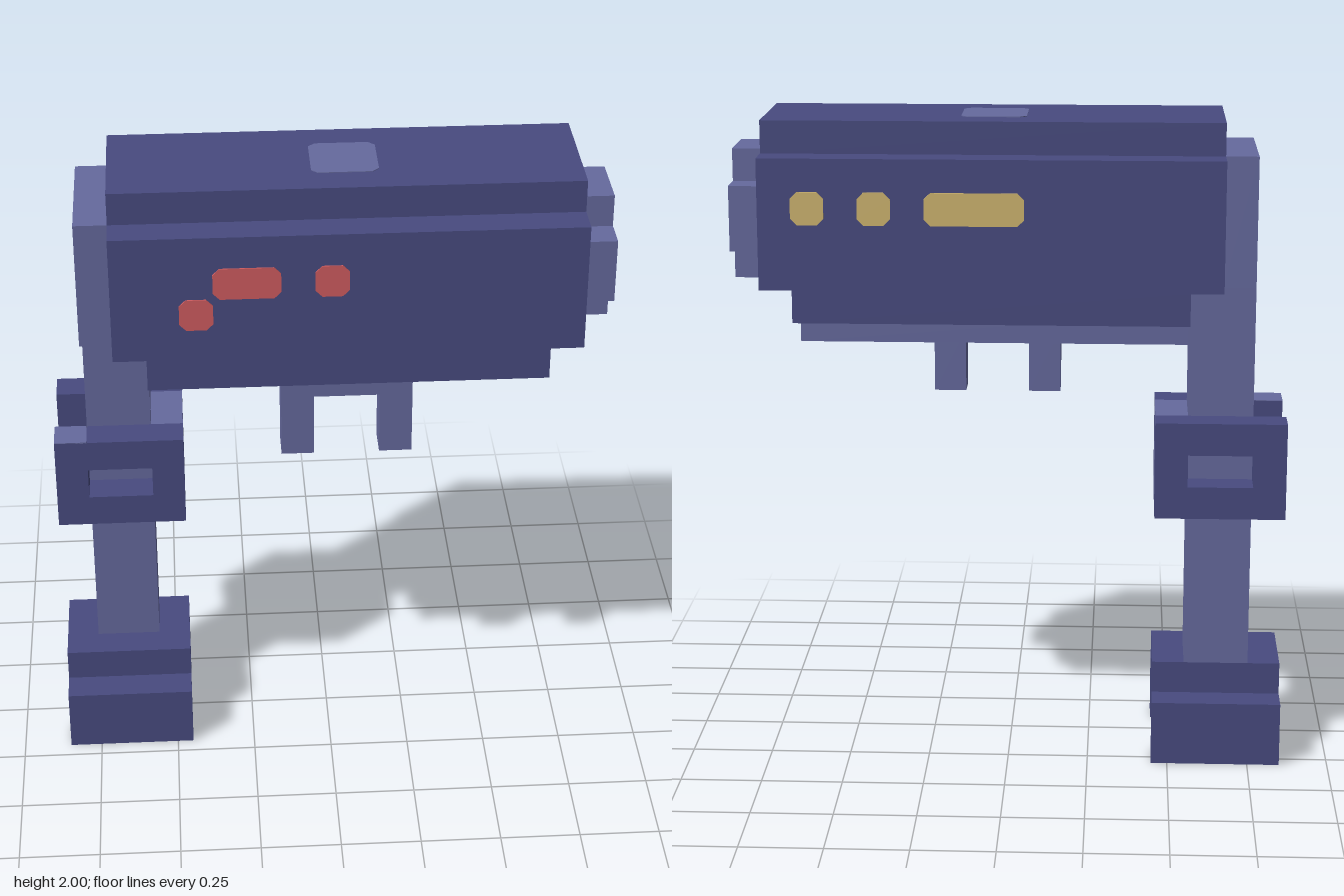
import * as THREE from 'three';

const mat = (name, color) => {
  const m = new THREE.MeshStandardMaterial({ color });
  m.name = name;
  return m;
};

export function createModel() {
  const dark = mat('dark indigo', 0x484b80);
  const light = mat('light indigo', 0x666a9e);
  const red = mat('signal red', 0xd05c60);
  const yellow = mat('signal yellow', 0xd0b670);
  const model = new THREE.Group();
  model.name = 'armUnit';

  // Box given by its limits on each axis
  const box = (name, material, [x0, x1], [y0, y1], [z0, z1], parent = model) => {
    const mesh = new THREE.Mesh(new THREE.BoxGeometry(x1 - x0, y1 - y0, z1 - z0), material);
    mesh.position.set((x0 + x1) / 2, (y0 + y1) / 2, (z0 + z1) / 2);
    mesh.name = name;
    parent.add(mesh);
    return mesh;
  };
  const outline = (points) => new THREE.Shape(points.map(([x, y]) => new THREE.Vector2(x, y)));
  const plate = (name, material, shape, depth, z) => {
    const mesh = new THREE.Mesh(new THREE.ExtrudeGeometry(shape, { depth, bevelEnabled: false }), material);
    mesh.position.z = z;
    mesh.name = name;
    model.add(mesh);
    return mesh;
  };
  // Thin painted marking with clipped corners
  const marking = (name, material, x0, x1, y0, y1, z, c = 0.02) => plate(name, material, outline([
    [x0 + c, y0], [x1 - c, y0], [x1, y0 + c], [x1, y1 - c],
    [x1 - c, y1], [x0 + c, y1], [x0, y1 - c], [x0, y0 + c],
  ]), 0.004, z);

  // Foot: raised block with toe and heel
  box('footBlock', dark, [-0.85, -0.45], [0.1, 0.3], [-0.2, 0.1]);
  box('toe', dark, [-0.85, -0.45], [0, 0.2], [0.1, 0.2]);
  box('heel', dark, [-0.85, -0.45], [0, 0.2], [-0.3, -0.2]);

  // Column
  box('column', light, [-0.75, -0.55], [0.3, 1.5], [-0.2, 0]);

  // Joint: two plates with slots around the column
  for (const [name, z] of [['jointFrontPlate', 0], ['jointBackPlate', -0.3]]) {
    const shape = outline([[-0.85, 0.8], [-0.45, 0.8], [-0.45, 1.1], [-0.85, 1.1]]);
    shape.holes.push(outline([[-0.75, 0.9], [-0.75, 1.0], [-0.55, 1.0], [-0.55, 0.9]]));
    plate(name, dark, shape, 0.1, z);
  }
  box('jointInnerBlock', light, [-0.55, -0.45], [0.8, 1.1], [-0.2, 0]);
  box('jointOuterLedge', light, [-0.85, -0.75], [0.8, 0.9], [-0.2, 0]);
  box('jointCap', light, [-0.85, -0.75], [1.098, 1.102], [0, 0.1]);

  // Shoulder plate at the end of the body
  box('shoulderPlate', light, [-0.75, -0.65], [1.5, 1.9], [-0.2, 0.2]);

  // Body: light core, dark notched side plates and roof
  box('core', light, [-0.65, 0.75], [1.5, 1.9], [-0.2, 0.2]);
  box('belly', light, [-0.55, 0.65], [1.4, 1.5], [-0.2, 0.2]);
  const side = outline([
    [-0.55, 1.4], [0.65, 1.4], [0.65, 1.5], [0.75, 1.5],
    [0.75, 1.9], [-0.65, 1.9], [-0.65, 1.5], [-0.55, 1.5],
  ]);
  plate('frontSidePlate', dark, side, 0.1, 0.2);
  plate('backSidePlate', dark, side, 0.1, -0.3);
  box('roof', dark, [-0.65, 0.75], [1.9, 2], [-0.2, 0.2]);

  // Ring of four bars on the free end
  const ring = new THREE.Group();
  ring.name = 'endRing';
  model.add(ring);
  box('ringTop', light, [0.75, 0.85], [1.8, 1.9], [-0.1, 0.1], ring);
  box('ringBottom', light, [0.75, 0.85], [1.5, 1.6], [-0.1, 0.1], ring);
  box('ringFront', light, [0.75, 0.85], [1.6, 1.8], [0.1, 0.2], ring);
  box('ringBack', light, [0.75, 0.85], [1.6, 1.8], [-0.2, -0.1], ring);

  // Underside rail, bracket and pegs
  box('rail', light, [-0.55, 0.65], [1.3, 1.4], [-0.1, 0]);
  box('bracket', light, [-0.15, 0.25], [1.3, 1.4], [0, 0.2]);
  for (const x of [-0.15, 0.15]) box('peg', light, [x, x + 0.1], [1.1, 1.3], [0.1, 0.2]);

  // Indicator lights
  for (const [x0, x1, y] of [[-0.45, -0.35, 1.6], [-0.35, -0.15, 1.7], [-0.05, 0.05, 1.7]])
    marking('frontLight', red, x0, x1, y, y + 0.1, 0.3);
  for (const [x0, x1] of [[0.55, 0.65], [0.35, 0.45], [-0.05, 0.25]])
    marking('backLight', yellow, x0, x1, 1.7, 1.8, -0.304);
  const hatch = marking('roofHatch', light, -0.05, 0.15, -0.1, 0.1, 0);
  hatch.rotation.x = -Math.PI / 2;
  hatch.position.y = 1.998;

  return model;
}
